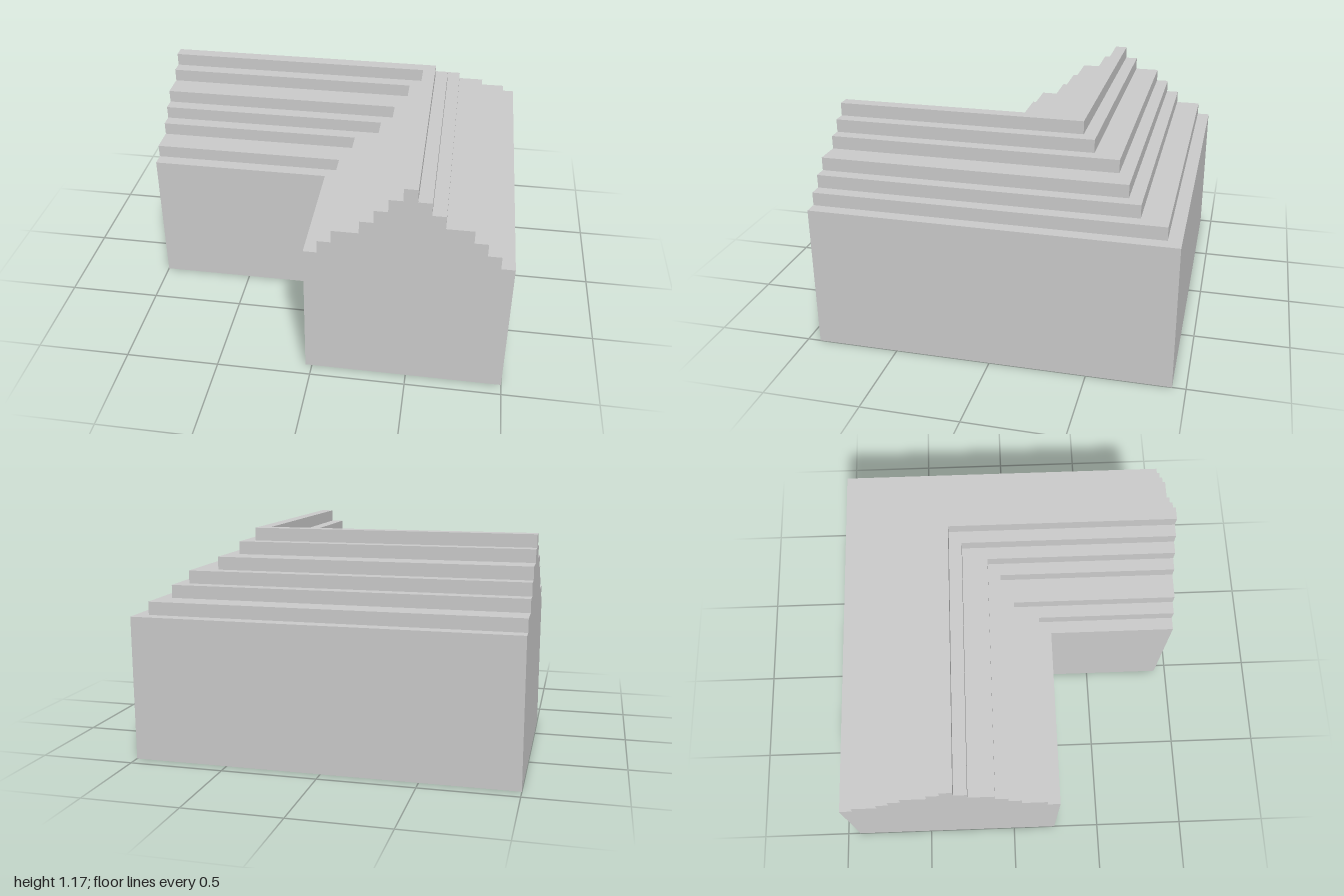
import * as THREE from 'three';

const U = 2 / 29; // one grid unit: the model is 29 wide, 27 deep, 17 high

// L-shaped slab: one wing runs to the right end (-x), the other to the front (+z)
function cornerSlab([innerX, outerX, backZ, innerZ], bottom, height) {
  const outline = [
    [-14.5, backZ], [-14.5, innerZ], [innerX, innerZ],
    [innerX, 13.5], [outerX, 13.5], [outerX, backZ],
  ];
  const shape = new THREE.Shape(outline.map(([x, z]) => new THREE.Vector2(x * U, -z * U)));
  const geometry = new THREE.ExtrudeGeometry(shape, { depth: height * U, bevelEnabled: false });
  geometry.rotateX(-Math.PI / 2);
  geometry.translate(0, bottom * U, 0);
  return geometry;
}

export function createModel() {
  const model = new THREE.Group();
  model.name = 'cornerRoof';
  const material = new THREE.MeshStandardMaterial({ color: 0xcccccc, flatShading: true });

  // innerX, outerX, backZ, innerZ of each layer, from the base to the ridge
  const layers = [
    [-0.5, 14.5, -13.5, 3.5],
    [0.5, 13.5, -12.5, 2.5],
    [1.5, 12.5, -10.5, 0.5],
    [3.5, 11.5, -9.5, -0.5],
    [4.5, 9.5, -8.5, -1.5],
    [5.5, 8.5, -6.5, -3.5],
    [6.5, 7.5, -5.5, -4.5],
  ];
  layers.forEach((layer, i) => {
    // tall base block, then steps one unit high
    const geometry = i === 0 ? cornerSlab(layer, 0, 11) : cornerSlab(layer, 10 + i, 1);
    const mesh = new THREE.Mesh(geometry, material);
    mesh.name = i === 0 ? 'base' : i === layers.length - 1 ? 'ridge' : `roofStep${i}`;
    model.add(mesh);
  });
  return model;
}
